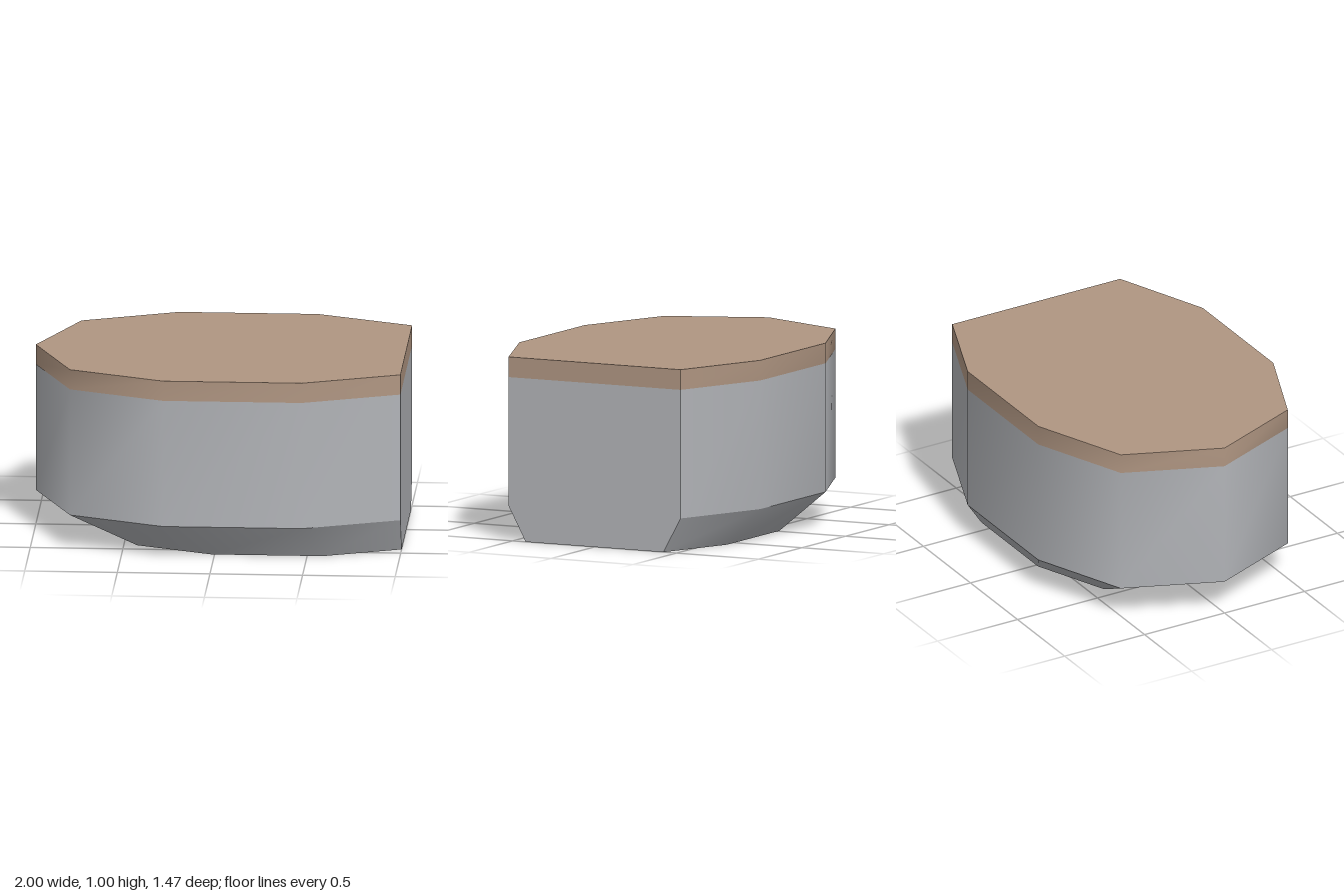
import * as THREE from 'three';

// Half outline from the stern corner (+x) round to the bow point (-x)
const HALF = [[1, 0.525], [0.48, 0.735], [-0.27, 0.735], [-0.785, 0.522], [-1, 0]];
const OUTLINE = [...HALF, ...HALF.slice(0, -1).reverse().map(([x, z]) => [x, -z])];
const STERN = [OUTLINE[OUTLINE.length - 1], OUTLINE[0]];

// Levels: the outline shrinks towards the flat stern at the keel
const DECK = { y: 1, scale: 1 };
const TRIM = { y: 0.89, scale: 1 };
const WAIST = { y: 0.19, scale: 1 };
const KEEL = { y: 0, scale: 0.8 };

const place = ([x, z], scale) => [1 - (1 - x) * scale, z * scale];

// Wall between two levels, smooth along its length
function wall(points, top, bottom) {
  const positions = [], index = [];
  points.forEach((p, i) => {
    for (const level of [top, bottom]) {
      const [x, z] = place(p, level.scale);
      positions.push(x, level.y, z);
    }
    if (i > 0) {
      const a = 2 * i - 2;
      index.push(a, a + 2, a + 3, a, a + 3, a + 1);
    }
  });
  const geometry = new THREE.BufferGeometry();
  geometry.setAttribute('position', new THREE.Float32BufferAttribute(positions, 3));
  geometry.setIndex(index);
  geometry.computeVertexNormals();
  return geometry;
}

// Flat cap facing up (1) or down (-1)
function cap(level, facing) {
  const shape = new THREE.Shape(OUTLINE.map((p) => {
    const [x, z] = place(p, level.scale);
    return new THREE.Vector2(x, -facing * z);
  }));
  return new THREE.ShapeGeometry(shape).rotateX(-facing * Math.PI / 2).translate(0, level.y, 0);
}

export function createModel() {
  const grey = new THREE.MeshStandardMaterial({ color: 0xb2b4b8 });
  grey.name = 'hullGrey';
  const brown = new THREE.MeshStandardMaterial({ color: 0xb09682 });
  brown.name = 'deckBrown';

  const model = new THREE.Group();
  model.name = 'hull';
  const add = (name, geometry, material) => {
    const mesh = new THREE.Mesh(geometry, material);
    mesh.name = name;
    model.add(mesh);
  };

  // Brown deck and rim
  add('deck', cap(DECK, 1), brown);
  add('rim', wall(OUTLINE, DECK, TRIM), brown);
  add('sternRim', wall(STERN, DECK, TRIM), brown);

  // Grey body, flat stern and tapered underside
  add('sides', wall(OUTLINE, TRIM, WAIST), grey);
  add('sternPanel', wall(STERN, TRIM, WAIST), grey);
  add('lowerTaper', wall(OUTLINE, WAIST, KEEL), grey);
  add('lowerStern', wall(STERN, WAIST, KEEL), grey);
  add('bottom', cap(KEEL, -1), grey);

  return model;
}
